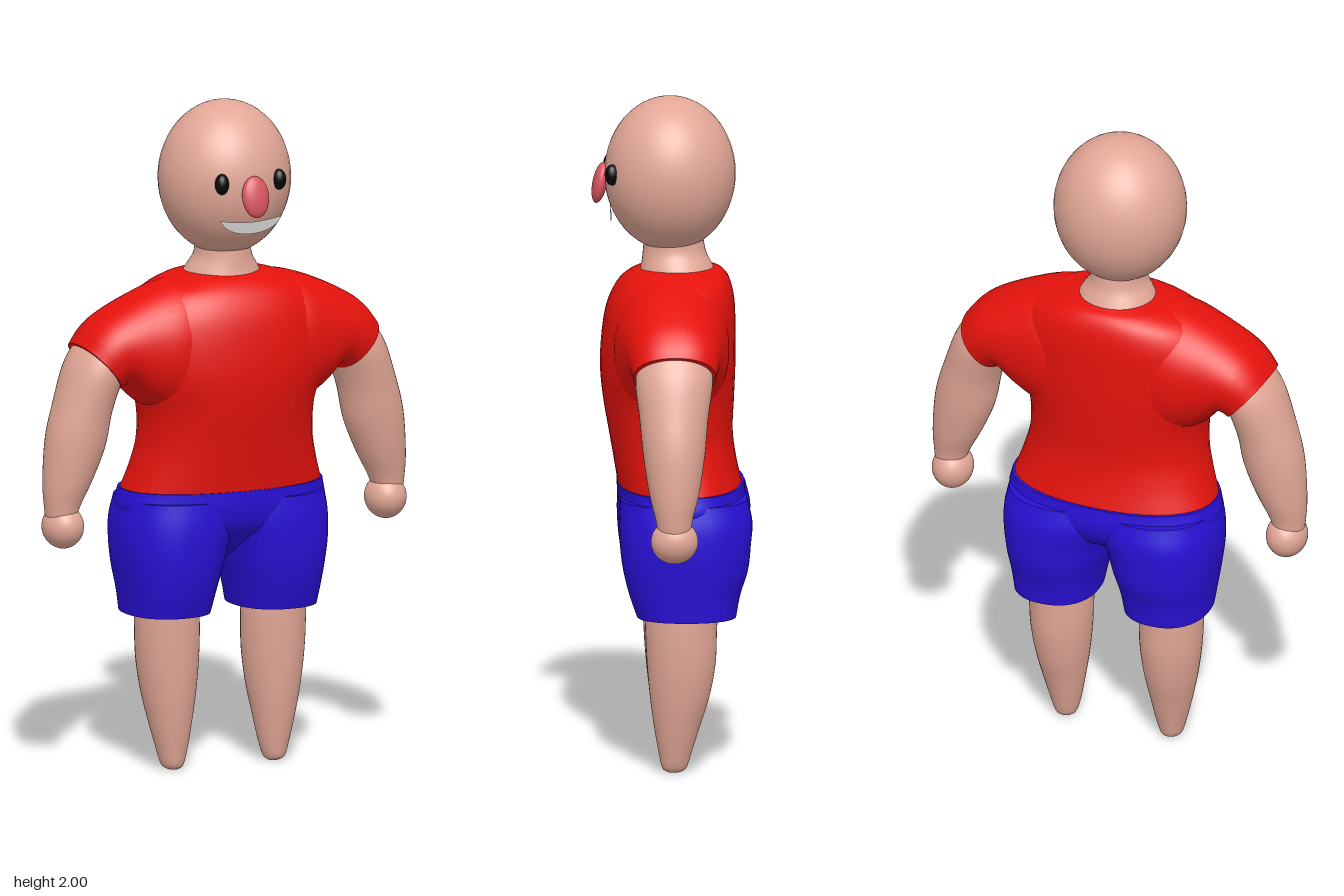
import * as THREE from 'three';

const mat = (color) => new THREE.MeshStandardMaterial({ color, side: THREE.DoubleSide });

// Smooth skin through cross-sections [x0, y0, x1, y1, zFront, zBack]:
// each is a rounded ring spanning two points in the xy plane, with its own depth.
function loft(sections, power = 2, steps = 6, sides = 40) {
  const spline = (i) => new THREE.CatmullRomCurve3(
    sections.map((s) => new THREE.Vector3(s[i], s[i + 1], s[i + 2])), false, 'catmullrom', 0.5);
  const A = spline(0), B = spline(3);
  const rows = (sections.length - 1) * steps;
  const pos = [], idx = [];
  const round = (v) => Math.sign(v) * Math.abs(v) ** (2 / power);
  for (let i = 0; i <= rows; i++) {
    const a = A.getPoint(i / rows), b = B.getPoint(i / rows);
    const [x0, y0, x1, y1, zf, zb] = [a.x, a.y, a.z, b.x, b.y, b.z];
    for (let j = 0; j < sides; j++) {
      const t = (j / sides) * Math.PI * 2, c = round(Math.cos(t)), s = round(Math.sin(t));
      pos.push((x0 + x1) / 2 + (c * (x1 - x0)) / 2, (y0 + y1) / 2 + (c * (y1 - y0)) / 2,
        (zf + zb) / 2 + (s * (zf - zb)) / 2);
    }
  }
  for (let i = 0; i < rows; i++) for (let j = 0; j < sides; j++) {
    const k = (j + 1) % sides, p = i * sides, q = p + sides;
    idx.push(p + j, q + j, p + k, p + k, q + j, q + k);
  }
  // flat end caps on their own vertices keep the rims crisp
  for (const end of [0, rows]) {
    const first = pos.length / 3, src = end * sides * 3;
    pos.push(...pos.slice(src, src + sides * 3));
    const s = sections[end ? sections.length - 1 : 0];
    pos.push((s[0] + s[2]) / 2, (s[1] + s[3]) / 2, (s[4] + s[5]) / 2);
    for (let j = 0; j < sides; j++) {
      const p = first + j, q = first + ((j + 1) % sides);
      idx.push(first + sides, end ? q : p, end ? p : q);
    }
  }
  const g = new THREE.BufferGeometry();
  g.setAttribute('position', new THREE.Float32BufferAttribute(pos, 3));
  g.setIndex(idx);
  g.computeVertexNormals();
  return g;
}

const mirror = (sections) => sections.map(([x0, y0, x1, y1, f, b]) => [-x1, y1, -x0, y0, f, b]);
const centred = (rows) => rows.map(([y, w, f, b]) => [-w, y, w, y, f, b]);
const upright = (rows) => rows.map(([y, x0, x1, f, b]) => [x0, y, x1, y, f, b]);

export function createModel() {
  const model = new THREE.Group();
  const skin = mat(0xe2a796), red = mat(0xe6120c), blue = mat(0x2a10d8);
  const black = mat(0x080808), pink = mat(0xd9555f), grey = mat(0xcccccc);

  const add = (name, geometry, material) => {
    const m = new THREE.Mesh(geometry, material);
    m.name = name;
    model.add(m);
    return m;
  };
  const ellipsoid = (name, material, [x, y, z], [rx, ry, rz]) => {
    const m = add(name, new THREE.SphereGeometry(1, 40, 28), material);
    m.position.set(x, y, z);
    m.scale.set(rx, ry, rz);
    return m;
  };
  const pair = (name, sections, material, power) => {
    add('left' + name, loft(sections, power), material);
    add('right' + name, loft(mirror(sections), power), material);
  };

  // head and neck
  ellipsoid('head', skin, [0, 1.77, 0.005], [0.198, 0.23, 0.194]);
  add('neck', loft(centred([
    [1.46, 0.13, 0.1, -0.14], [1.5, 0.108, 0.09, -0.118], [1.54, 0.085, 0.085, -0.1], [1.6, 0.08, 0.08, -0.09],
  ])), skin);

  // face
  for (const s of [1, -1]) {
    const eye = ellipsoid(s > 0 ? 'leftEye' : 'rightEye', black, [s * 0.094, 1.782, 0.178], [0.021, 0.031, 0.022]);
    eye.rotation.y = s * 0.4;
  }
  ellipsoid('nose', pink, [0, 1.742, 0.212], [0.043, 0.062, 0.022]).rotation.x = -0.2;
  const smile = new THREE.Shape();
  smile.moveTo(-0.1, 1.673);
  smile.quadraticCurveTo(0, 1.65, 0.1, 1.673);
  smile.bezierCurveTo(0.08, 1.61, -0.08, 1.61, -0.1, 1.673);
  add('mouth', new THREE.ShapeGeometry(smile, 24), grey).position.z = 0.18;

  // shirt body and sleeves
  add('shirtBody', loft(centred([
    [0.845, 0.315, 0.16, -0.207], [0.92, 0.29, 0.172, -0.19], [1.0, 0.272, 0.186, -0.18],
    [1.1, 0.275, 0.203, -0.184], [1.2, 0.31, 0.212, -0.188], [1.3, 0.325, 0.206, -0.188],
    [1.38, 0.31, 0.19, -0.186], [1.44, 0.26, 0.16, -0.175], [1.475, 0.18, 0.12, -0.155],
    [1.49, 0.115, 0.08, -0.125],
  ]), 2.2), red);
  pair('Sleeve', [
    [0.1, 1.486, 0.14, 1.05, 0.17, -0.165], [0.2, 1.475, 0.22, 1.08, 0.175, -0.165],
    [0.3, 1.44, 0.29, 1.12, 0.157, -0.15], [0.4, 1.39, 0.335, 1.17, 0.138, -0.137],
    [0.45, 1.35, 0.35, 1.175, 0.13, -0.13], [0.485, 1.305, 0.365, 1.165, 0.122, -0.122],
  ], red, 2.2);

  // arms, from wrist to shoulder, and hands
  pair('Arm', [
    [0.5, 0.775, 0.58, 0.765, 0.05, -0.045], [0.478, 0.83, 0.588, 0.82, 0.058, -0.05],
    [0.44, 0.905, 0.591, 0.9, 0.077, -0.07], [0.402, 1.0, 0.58, 1.03, 0.095, -0.088],
    [0.383, 1.1, 0.55, 1.14, 0.105, -0.098], [0.358, 1.18, 0.51, 1.25, 0.116, -0.112],
    [0.34, 1.23, 0.455, 1.33, 0.11, -0.11],
  ], skin);
  for (const s of [1, -1])
    ellipsoid(s > 0 ? 'leftHand' : 'rightHand', skin, [s * 0.532, 0.763, 0.003], [0.061, 0.066, 0.07]);

  // shorts: hips blending into two legs
  add('shortsHips', loft(centred([
    [0.63, 0.02, 0.01, -0.03], [0.68, 0.13, 0.08, -0.13], [0.73, 0.28, 0.135, -0.195],
    [0.79, 0.325, 0.158, -0.218], [0.85, 0.318, 0.163, -0.214],
  ]), 2.3), blue);
  pair('ShortsLeg', upright([
    [0.472, 0.048, 0.302, 0.107, -0.187], [0.54, 0.035, 0.311, 0.13, -0.2], [0.61, 0.016, 0.322, 0.147, -0.222],
    [0.68, -0.003, 0.33, 0.156, -0.23], [0.75, -0.03, 0.33, 0.159, -0.235], [0.82, -0.04, 0.318, 0.155, -0.22],
  ]), blue, 2.3);

  // bare legs tapering to rounded ends
  pair('Leg', upright([
    [0.002, 0.148, 0.182, 0.015, -0.022], [0.015, 0.135, 0.2, 0.032, -0.04], [0.06, 0.122, 0.214, 0.042, -0.055],
    [0.14, 0.107, 0.234, 0.056, -0.08], [0.23, 0.092, 0.253, 0.068, -0.108], [0.33, 0.082, 0.266, 0.077, -0.126],
    [0.43, 0.08, 0.27, 0.082, -0.13], [0.52, 0.085, 0.268, 0.085, -0.135],
  ]), skin);

  return model;
}
